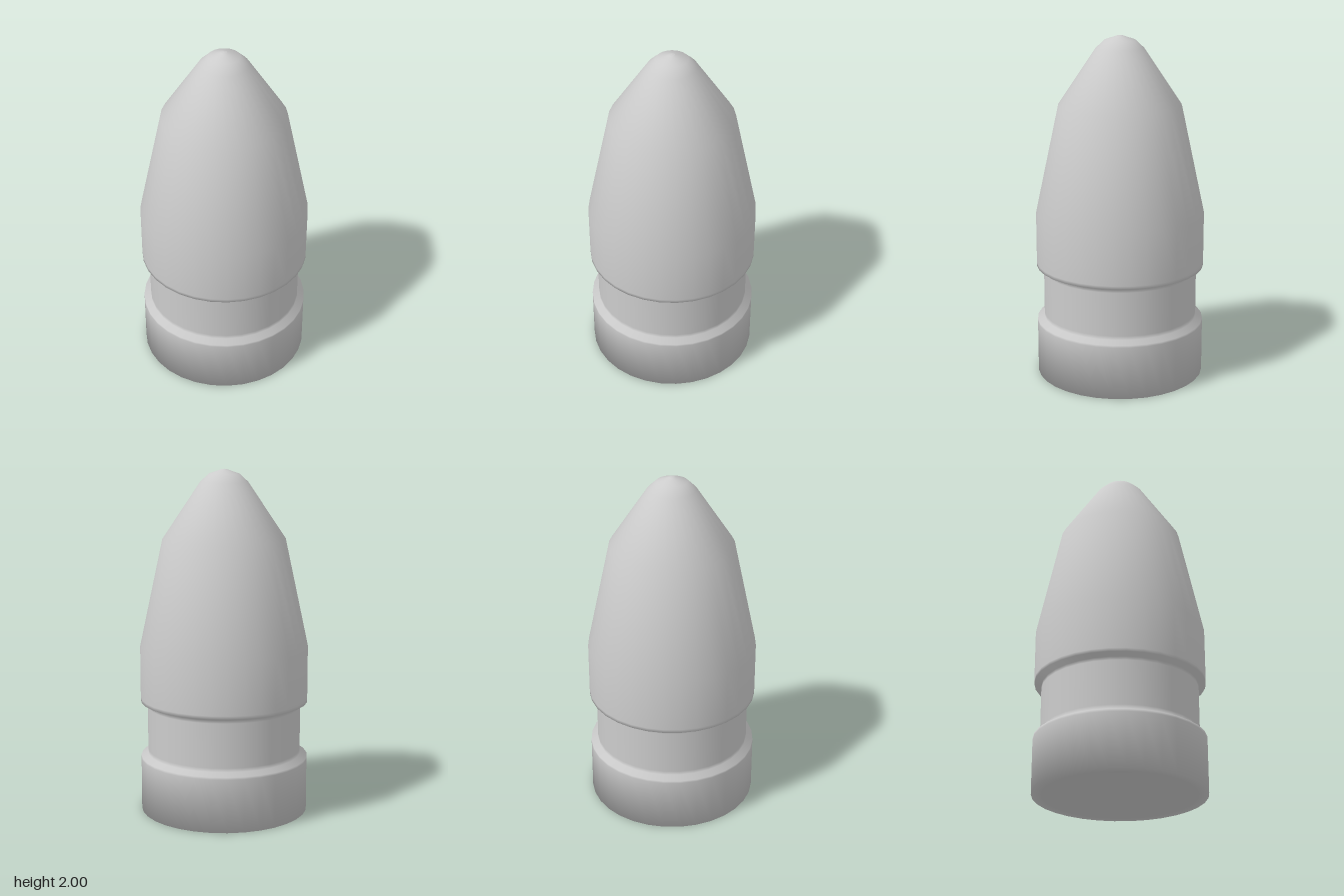
import * as THREE from 'three';

const SIDES = 32;
const material = new THREE.MeshStandardMaterial({ color: 0xcccccc });

// Revolve a [radius, height] profile around the vertical axis,
// blending the normals of neighbouring bands evenly
function revolve(name, profile) {
  const points = profile.map(([r, y]) => new THREE.Vector2(r, y));
  const bands = points.slice(1).map((p, i) =>
    new THREE.Vector2(p.y - points[i].y, points[i].x - p.x).normalize());
  const geometry = new THREE.LatheGeometry(points, SIDES);
  const normals = geometry.attributes.normal;
  for (let i = 0; i <= SIDES; i++) {
    const angle = (i / SIDES) * Math.PI * 2;
    points.forEach((p, j) => {
      const before = bands[Math.max(j - 1, 0)];
      const after = bands[Math.min(j, bands.length - 1)];
      const n = before.clone().add(after).normalize();
      normals.setXYZ(i * points.length + j, n.x * Math.sin(angle), n.y, n.x * Math.cos(angle));
    });
  }
  const mesh = new THREE.Mesh(geometry, material);
  mesh.name = name;
  return mesh;
}

export function createModel() {
  const group = new THREE.Group();
  group.name = 'bullet';

  group.add(revolve('bulletBody', [
    // tapered hollow in the base
    [0, 0.2], [0.25, 0.2], [0.43, 0],
    // base band
    [0.49, 0], [0.49, 0.31], [0.49, 0.324],
    // groove
    [0.449, 0.342], [0.449, 0.365], [0.449, 0.622], [0.449, 0.642],
    // upper band
    [0.49, 0.655], [0.49, 0.675], [0.49, 0.976],
    // tapered nose and rounded shoulder of the tip
    [0.355, 1.602], [0.138, 1.926], [0.088, 1.973], [0.015, 1.998],
  ]));

  // small flat on the tip
  group.add(revolve('tipFlat', [[0.015, 1.998], [0, 2]]));

  return group;
}
